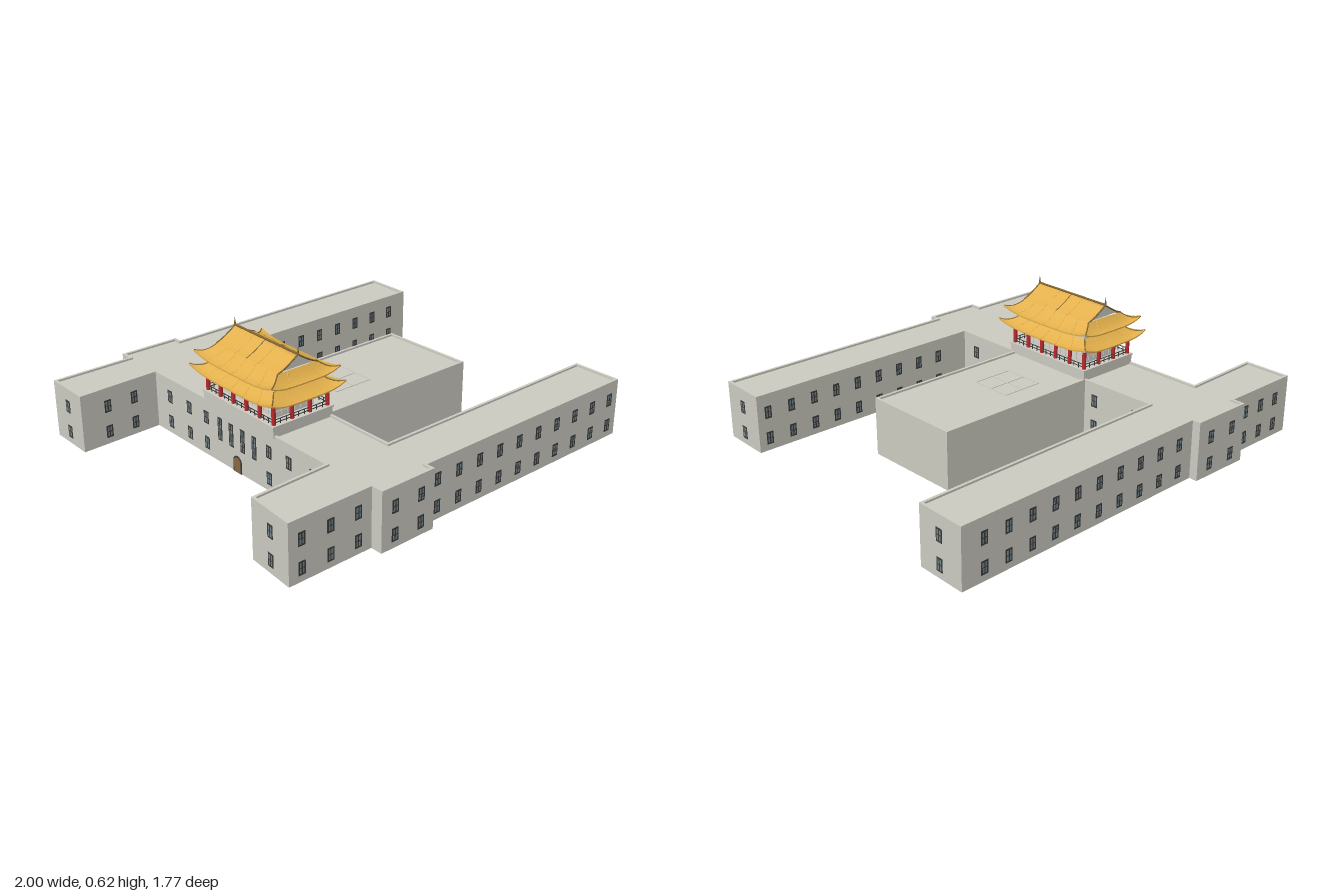
import * as THREE from 'three';
import { mergeGeometries } from 'three/addons/utils/BufferGeometryUtils.js';

const mat = (name, color, side = THREE.FrontSide) => {
  const m = new THREE.MeshStandardMaterial({ color, side });
  m.name = name;
  return m;
};

export function createModel() {
  const model = new THREE.Group();
  const stone = mat('stone', 0xcdccc2, THREE.DoubleSide);
  const pale = mat('pale plaster', 0xd6d5cf, THREE.DoubleSide);
  const gold = mat('gold tile', 0xe2af4b, THREE.DoubleSide);
  const ridgeMat = mat('dark ridge', 0x80642e);
  const red = mat('red lacquer', 0xc0282c);
  const dark = mat('dark frame', 0x3c3d3c);
  const glass = mat('glass', 0x76878f);
  const wood = mat('door wood', 0x8a6844);

  const add = (name, geo, material, parent = model) => {
    const m = new THREE.Mesh(geo, material);
    m.name = name;
    parent.add(m);
    return m;
  };
  const box = (w, h, d, x, y, z) => new THREE.BoxGeometry(w, h, d).translate(x, y, z);
  const tube = (pts, r) => new THREE.TubeGeometry(new THREE.CatmullRomCurve3(pts), 12, r, 10, false);

  // Footprint (x, z): two long wings, a joining bar and the central hall
  const plan = [
    [-0.996, -0.83], [-0.6, -0.83], [-0.6, -0.887], [-0.3, -0.885], [-0.3, -0.845], [0.997, -0.86],
    [0.997, -0.622], [-0.285, -0.608], [-0.275, -0.235], [0.543, -0.235], [0.555, 0.243], [-0.272, 0.243],
    [-0.27, 0.605], [0.94, 0.602], [0.94, 0.84], [-0.28, 0.84], [-0.28, 0.882], [-0.56, 0.882],
    [-0.56, 0.825], [-0.97, 0.825], [-0.955, 0.588], [-0.582, 0.575], [-0.595, -0.61], [-0.996, -0.598],
  ].map(p => new THREE.Vector2(...p));
  const n = plan.length, TOP = 0.275, ROOF = 0.266;
  const edge = i => {
    const a = plan[i % n], b = plan[(i + 1) % n], d = b.clone().sub(a).normalize();
    return { a, b, d, out: new THREE.Vector2(d.y, -d.x) };
  };

  // Outer walls, open underneath
  const wallPos = [];
  for (let i = 0; i < n; i++) {
    const { a, b } = edge(i);
    wallPos.push(a.x, 0, a.y, a.x, ROOF, a.y, b.x, ROOF, b.y, a.x, 0, a.y, b.x, ROOF, b.y, b.x, 0, b.y);
  }
  const walls = new THREE.BufferGeometry();
  walls.setAttribute('position', new THREE.Float32BufferAttribute(wallPos, 3));
  walls.computeVertexNormals();
  add('outerWalls', walls, stone);

  // Flat roof and the parapet around its rim
  add('flatRoof', new THREE.ShapeGeometry(new THREE.Shape(plan)).rotateX(Math.PI / 2).translate(0, ROOF, 0), stone);
  const rim = new THREE.Shape(plan);
  rim.holes.push(new THREE.Path(plan.map((p, i) => {
    const n1 = edge(i + n - 1).out, n2 = edge(i).out;
    return p.clone().addScaledVector(n1.clone().add(n2), -0.013 / (1 + n1.dot(n2)));
  })));
  add('parapet', new THREE.ExtrudeGeometry(rim, { depth: TOP - ROOF, bevelEnabled: false })
    .rotateX(Math.PI / 2).translate(0, TOP, 0), stone);

  // Windows: thin dark frames with panes, smaller outside than inside, placed along a wall by x or z
  const frames = [], panes = [];
  const windowAt = (i, c, y, w = 0.034, h = 0.06, rows = 2) => {
    const { a, b, d } = edge(i), alongX = Math.abs(d.x) > Math.abs(d.y);
    const t = alongX ? (c - a.x) / (b.x - a.x) : (c - a.y) / (b.y - a.y);
    const p = a.clone().lerp(b, t), angle = Math.atan2(-d.y, d.x);
    const put = (list, g) => list.push(g.rotateY(angle).translate(p.x, y, p.y));
    put(frames, box(w, h, 0.003, 0, 0, 0));
    const ph = (h - 0.01) / rows;
    for (const [face, gap] of [[-1, 0.0095], [1, 0.005]])
      for (const s of [-1, 1]) for (let r = 0; r < rows; r++)
        put(panes, box(w / 2 - gap, ph - gap / 2, 0.001, s * (w / 4 - gap / 6), (r - (rows - 1) / 2) * ph, face * 0.0015));
  };
  const long = Array.from({ length: 10 }, (_, k) => -0.217 + k * 0.1225);
  const inner = long.slice(1);
  const layout = {
    0: [-0.907, -0.8, -0.69], 2: [-0.52, -0.38], 4: long, 5: [-0.735], 6: inner, 7: [-0.535, -0.295],
    11: [0.335, 0.515], 12: inner, 13: [0.725], 14: long, 16: [-0.489, -0.35], 18: [-0.907, -0.767, -0.628],
    19: [0.71], 20: [-0.86, -0.72], 21: [-0.5, -0.35, -0.22, 0.22, 0.35, 0.5], 22: [-0.86, -0.72], 23: [-0.715],
  };
  for (const [i, list] of Object.entries(layout))
    for (const c of list) for (const y of [0.06, 0.186]) windowAt(+i, c, y);
  for (const z of [-0.12, -0.04, 0.04, 0.12]) windowAt(21, z, 0.165, 0.03, 0.11, 4);
  add('windowFrames', mergeGeometries(frames), dark);
  add('windowPanes', mergeGeometries(panes), glass);

  // Arched entrance on the bar
  const arch = r => {
    const s = new THREE.Shape();
    s.moveTo(-r, 0).lineTo(r, 0).lineTo(r, 0.05).absarc(0, 0.05, r, 0, Math.PI).lineTo(-r, 0);
    return s;
  };
  for (const [name, r, depth, m] of [['doorSurround', 0.029, 0.006, dark], ['door', 0.022, 0.009, wood]])
    add(name, new THREE.ExtrudeGeometry(arch(r), { depth, bevelEnabled: false })
      .translate(0, 0, -depth / 2).rotateY(-Math.PI / 2).translate(-0.588, 0, 0), m);

  // Low skylight bars on the hall roof
  const bars = [];
  for (const s of [-0.1, 0, 0.1]) bars.push(box(0.003, 0.003, 0.203, s, ROOF + 0.001, -0.01));
  for (const s of [-0.1, 0, 0.1]) bars.push(box(0.203, 0.003, 0.003, 0, ROOF + 0.001, s - 0.01));
  add('skylightBars', mergeGeometries(bars), stone);

  // Pavilion on top of the bar
  const pav = new THREE.Group();
  pav.name = 'pavilion';
  pav.position.set(-0.43, 0, 0.014);
  model.add(pav);
  add('platform', mergeGeometries([box(0.32, 0.05, 0.49, 0, 0.288, 0), box(0.328, 0.008, 0.498, 0, 0.314, 0)]), stone, pav);
  add('roomWalls', box(0.21, 0.1, 0.37, 0, 0.365, 0), pale, pav);
  add('upperWalls', box(0.25, 0.05, 0.42, 0, 0.462, 0), pale, pav);

  // Columns round the terrace with a railing between them
  const cx = 0.145, cz = 0.23, cols = [], rails = [], lattice = [];
  const column = (x, z) => cols.push(new THREE.CylinderGeometry(0.0095, 0.0095, 0.092, 12).translate(x, 0.362, z));
  for (const s of [-1, 1]) {
    for (let k = 0; k < 6; k++) column(s * cx, -cz + k * cz * 0.4);
    for (const x of [-cx / 3, cx / 3]) column(x, s * cz);
    for (const y of [0.328, 0.341]) {
      rails.push(box(0.003, 0.003, 2 * cz, s * (cx + 0.004), y, 0));
      rails.push(box(2 * cx, 0.003, 0.003, 0, y, s * (cz + 0.004)));
    }
    for (let k = 0; k <= 15; k++) rails.push(box(0.003, 0.025, 0.003, s * (cx + 0.004), 0.33, -cz + k * cz / 7.5));
    for (let k = 0; k <= 9; k++) rails.push(box(0.003, 0.025, 0.003, -cx + k * cx / 4.5, 0.33, s * (cz + 0.004)));
    // lattice strips on the room walls
    for (let k = 0; k <= 10; k++) lattice.push(box(0.003, 0.065, 0.003, s * 0.106, 0.36, -0.18 + k * 0.036));
    for (let k = 0; k <= 6; k++) lattice.push(box(0.003, 0.065, 0.003, -0.1 + k * 0.0333, 0.36, s * 0.186));
    for (const y of [0.345, 0.368, 0.39]) {
      lattice.push(box(0.003, 0.003, 0.37, s * 0.106, y, 0));
      lattice.push(box(0.21, 0.003, 0.003, 0, y, s * 0.186));
    }
  }
  add('columns', mergeGeometries(cols), red, pav);
  add('railings', mergeGeometries(rails), dark, pav);
  add('lattice', mergeGeometries(lattice), pale, pav);
  add('eaveBeam', box(0.31, 0.012, 0.48, 0, 0.408, 0), stone, pav);

  // Curved skirt roof: four sides from an inner rectangle to upswept eaves
  const skirt = (name, ix, iz, yi, ox, oz, yo, lift) => {
    const at = (side, u, v) => {
      const x = THREE.MathUtils.lerp(ix, ox, v), z = THREE.MathUtils.lerp(iz, oz, v);
      const y = yi + (yo - yi) * (1 - (1 - v) ** 1.7) + lift * v * v * Math.abs(u) ** 4;
      return side < 2 ? new THREE.Vector3(u * x, y, side ? -z : z) : new THREE.Vector3(side === 2 ? x : -x, y, u * z);
    };
    // bend a plane by a rule, keeping its front outward on every side
    const sheet = (side, rows, rule) => {
      const g = new THREE.PlaneGeometry(2, 1, 16, rows), p = g.attributes.position;
      for (let i = 0; i < p.count; i++) {
        const q = rule(p.getX(i), 0.5 - p.getY(i));
        p.setXYZ(i, q.x, q.y, q.z);
      }
      if (side === 1 || side === 2) {
        const ids = g.index.array;
        for (let i = 0; i < ids.length; i += 3) [ids[i], ids[i + 1]] = [ids[i + 1], ids[i]];
      }
      g.computeVertexNormals();
      return g;
    };
    const hips = [], tiles = [];
    for (let side = 0; side < 4; side++) {
      tiles.push(sheet(side, 6, (u, v) => at(side, u, v)));
      // eave edge
      tiles.push(sheet(side, 1, (u, v) => at(side, u, 1).setY(at(side, u, 1).y - 0.006 * v)));
      const line = (list, u, r, end) =>
        list.push(tube([0, 1, 2, 3, 4, 5, 6].map(k => at(side, u, k / 6 * end)), r));
      if (side < 2) for (const u of [-1, 1]) line(hips, u, 0.0028, 0.97);
      for (const u of side < 2 ? [-0.5, 0, 0.5] : [-0.67, -0.33, 0, 0.33, 0.67]) line(tiles, u, 0.0015, 1);
    }
    add(name + 'Tiles', mergeGeometries(tiles), gold, pav);
    add(name + 'Hips', mergeGeometries(hips), ridgeMat, pav);
  };
  skirt('lowerRoof', 0.13, 0.215, 0.455, 0.2, 0.29, 0.414, 0.026);
  skirt('upperRoof', 0.105, 0.212, 0.529, 0.186, 0.27, 0.482, 0.024);

  // Gabled top: two sagging slopes, gable ends, ridge and finials
  const slopeAt = (x, z) => new THREE.Vector3(x, 0.529 + 0.058 * (1 - Math.abs(x) / 0.105) ** 1.25, z);
  const slopes = new THREE.PlaneGeometry(0.21, 0.43, 12, 1).rotateX(-Math.PI / 2);
  const sp = slopes.attributes.position;
  for (let i = 0; i < sp.count; i++) sp.setY(i, slopeAt(sp.getX(i), 0).y);
  slopes.computeVertexNormals();
  const xs = [-0.105, -0.075, -0.05, -0.025, 0, 0.025, 0.05, 0.075, 0.105];
  const ribs = [slopes];
  const ridges = [tube([new THREE.Vector3(0, 0.589, -0.218), new THREE.Vector3(0, 0.589, 0.218)], 0.005)];
  for (const s of [-1, 1]) {
    const gable = new THREE.Shape(xs.map(x => new THREE.Vector2(x, slopeAt(x, 0).y)));
    add('gableEnd', new THREE.ShapeGeometry(gable).translate(0, 0, s * 0.205), stone, pav);
    ridges.push(new THREE.ConeGeometry(0.006, 0.04, 10).translate(0, 0.605, s * 0.216));
    for (const h of [-1, 1]) {
      const run = z => [0, 1, 2, 3, 4].map(k => slopeAt(h * k * 0.02625, z));
      ridges.push(tube(run(s * 0.215), 0.0035));
      ribs.push(tube(run(s * 0.075), 0.0015));
    }
  }
  ridges.push(tube(xs.map(x => slopeAt(x, 0)), 0.002));
  add('gableRoofTiles', mergeGeometries(ribs), gold, pav);
  add('gableRidges', mergeGeometries(ridges), ridgeMat, pav);
  return model;
}
